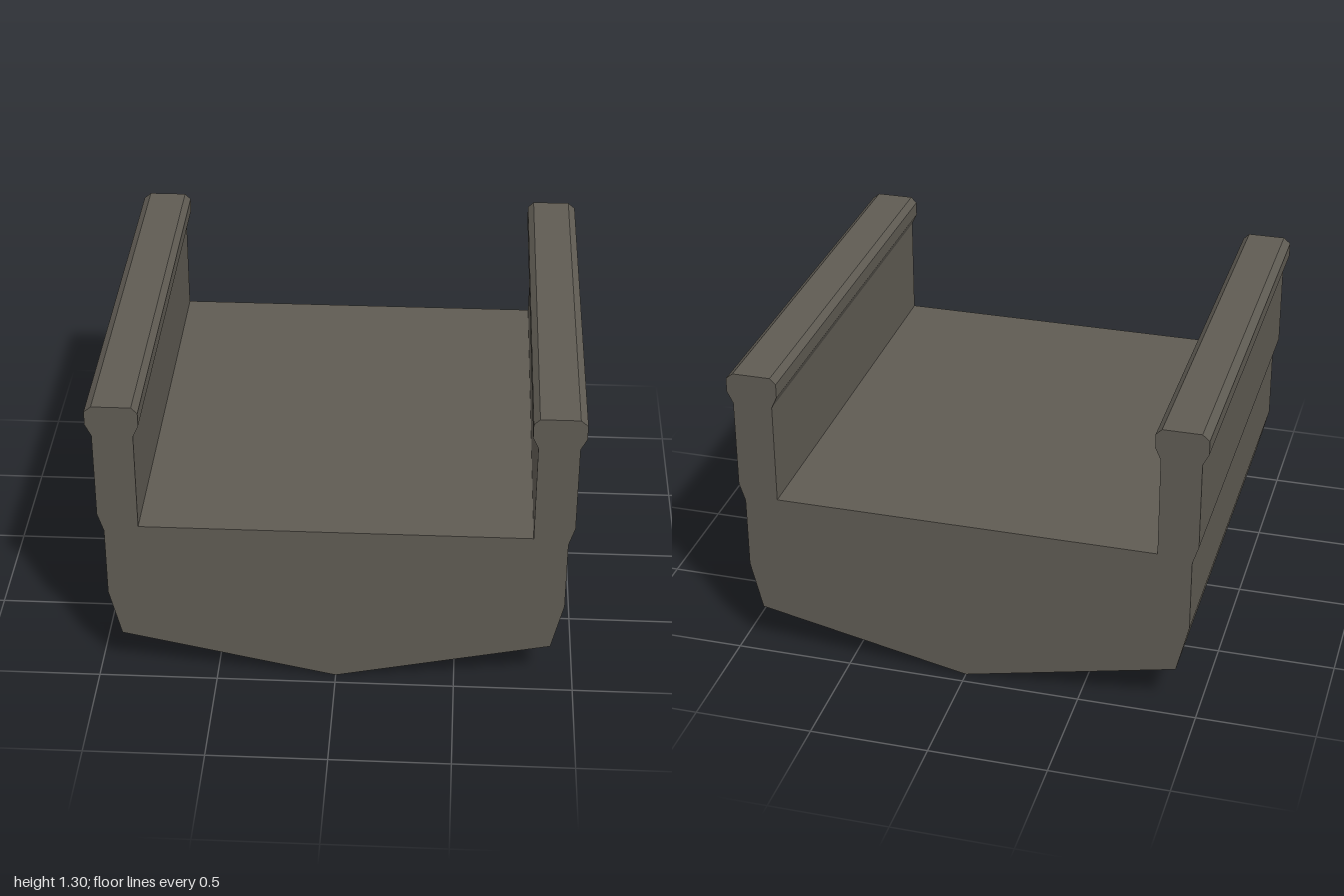
import * as THREE from 'three';

const DEPTH = 1.9;

// Extrude a cross-section (x, y) along z, centred on z = 0
function extrudeSection(points, material, name) {
  const shape = new THREE.Shape(points.map(([x, y]) => new THREE.Vector2(x, y)));
  const geometry = new THREE.ExtrudeGeometry(shape, { depth: DEPTH, bevelEnabled: false });
  geometry.translate(0, 0, -DEPTH / 2);
  const mesh = new THREE.Mesh(geometry, material);
  mesh.name = name;
  return mesh;
}

export function createModel() {
  const group = new THREE.Group();
  group.name = 'hullSection';

  const hullGrey = new THREE.MeshStandardMaterial({ color: 0x5f5b53 });
  hullGrey.name = 'hullGrey';

  // Left half of the section, from keel to deck edge
  const half = [
    [0.9, 0.19], [0.95, 0.4], [0.95, 0.71],           // bilge and side
    [0.975, 0.79], [0.975, 1.17],                     // bulwark outside
    [1, 1.22], [1, 1.28], [0.97, 1.305],              // rail outside
    [0.81, 1.305], [0.785, 1.28], [0.785, 1.22],      // rail inside
    [0.808, 1.17], [0.808, 0.735],                    // bulwark inside
  ];
  const mirrored = half.map(([x, y]) => [-x, y]).reverse();

  // V-bottomed hull with deck, bulwarks and rails as one solid
  group.add(extrudeSection([[0, 0], ...half, ...mirrored], hullGrey, 'hullWithBulwarks'));
  return group;
}
